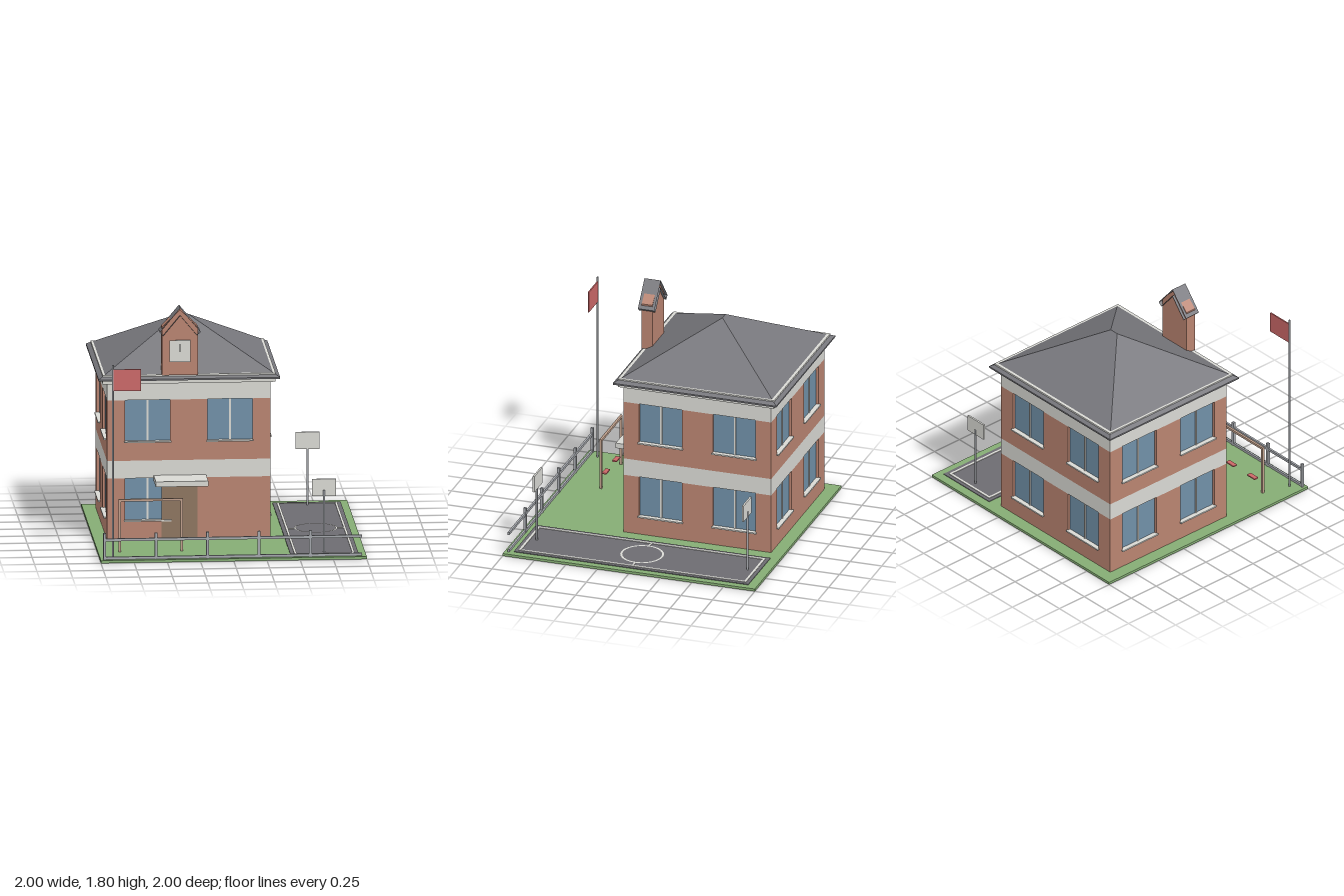
import * as THREE from 'three';

const mat = (color, extra = {}) => new THREE.MeshStandardMaterial({ color, ...extra });
const BRICK = mat(0xb98471), STONE = mat(0xd9d9d4), GLASS = mat(0x7090a8), GRASS = mat(0x85ad74);
const ASPHALT = mat(0x6d6c71), DOOR = mat(0x8e755f), RED = mat(0xcb6868), STEEL = mat(0xa5a8ad);
const TAN = mat(0xc0a08c), DARK = mat(0x333333);
const ROOF = mat(0x77777c, { flatShading: true, side: THREE.DoubleSide });

function add(parent, name, geometry, material) {
  const mesh = new THREE.Mesh(geometry, material);
  mesh.name = name;
  parent.add(mesh);
  return mesh;
}

// Box given by its min and max along each axis
function box(parent, name, material, x0, x1, y0, y1, z0, z1) {
  const mesh = add(parent, name, new THREE.BoxGeometry(x1 - x0, y1 - y0, z1 - z0), material);
  mesh.position.set((x0 + x1) / 2, (y0 + y1) / 2, (z0 + z1) / 2);
  return mesh;
}

function pole(parent, name, material, r, height, x, z) {
  const mesh = add(parent, name, new THREE.CylinderGeometry(r, r, height, 10), material);
  mesh.position.set(x, 0.02 + height / 2, z);
}

// Building footprint
const X0 = -0.9, X1 = 0.33, Z0 = -0.9, Z1 = 0.27;
const CX = (X0 + X1) / 2, CZ = (Z0 + Z1) / 2;
const WIN = 0.34, WALL = 0.04;

// One storey of one wall, outer face on local z = 0, notched at the top for windows
function wall(width, y0, sill, y1, windows) {
  const g = new THREE.Group();
  g.name = 'wall';
  const h = width / 2, half = WIN / 2;
  const shape = new THREE.Shape();
  shape.moveTo(-h, y0).lineTo(h, y0).lineTo(h, y1);
  for (const c of [...windows].sort((a, b) => b - a)) {
    shape.lineTo(c + half, y1).lineTo(c + half, sill).lineTo(c - half, sill).lineTo(c - half, y1);
  }
  shape.lineTo(-h, y1);
  const geo = new THREE.ExtrudeGeometry(shape, { depth: WALL, bevelEnabled: false });
  geo.translate(0, 0, -WALL);
  add(g, 'brickwork', geo, BRICK);
  for (const c of windows) {
    box(g, 'windowPane', GLASS, c - half, c + half, sill, y1, -0.035, -0.02);
    box(g, 'windowMullion', STONE, c - 0.007, c + 0.007, sill, y1, -0.03, -0.012);
    box(g, 'windowSill', STONE, c - half - 0.007, c + half + 0.007, sill - 0.006, sill + 0.005, -0.02, 0.017);
  }
  return g;
}

function buildHouse() {
  const g = new THREE.Group();
  g.name = 'schoolBuilding';
  const W = X1 - X0, D = Z1 - Z0;
  for (const [y0, sill, y1, ground] of [[0.02, 0.165, 0.49, true], [0.625, 0.77, 1.09, false]]) {
    for (let i = 0; i < 4; i++) {
      const alongX = i % 2 === 0;
      const width = alongX ? W : D, out = (alongX ? D : W) / 2;
      const off = alongX ? 0.31 : 0.2925;
      const w = wall(width, y0, sill, y1, ground && i === 0 ? [-off] : [-off, off]);
      const a = i * Math.PI / 2;
      w.position.set(CX + Math.sin(a) * out, 0, CZ + Math.cos(a) * out);
      w.rotation.y = a;
      g.add(w);
    }
  }
  // Stone bands and cornice
  box(g, 'middleBand', STONE, X0, X1, 0.49, 0.625, Z0, Z1);
  box(g, 'topBand', STONE, X0, X1, 1.09, 1.225, Z0, Z1);
  box(g, 'cornice', STONE, X0 - 0.035, X1 + 0.035, 1.222, 1.29, Z0 - 0.035, Z1 + 0.035);
  // Hip roof with a short ridge
  const ex = 0.6825, ez = 0.648, ridge = 0.036;
  const eave = box(g, 'eave', ROOF, CX - ex, CX + ex, 1.25, 1.262, CZ - ez, CZ + ez);
  eave.material = ROOF;
  const p = [[-ex, 0, ez], [ex, 0, ez], [ex, 0, -ez], [-ex, 0, -ez], [-ridge, 0.358, 0], [ridge, 0.358, 0]];
  const faces = [0, 1, 5, 0, 5, 4, 1, 2, 5, 2, 3, 4, 2, 4, 5, 3, 0, 4];
  const geo = new THREE.BufferGeometry();
  geo.setAttribute('position', new THREE.Float32BufferAttribute(faces.flatMap((i) => p[i]), 3));
  geo.computeVertexNormals();
  add(g, 'hipRoof', geo, ROOF).position.set(CX, 1.262, CZ);
  // Entrance
  box(g, 'door', DOOR, -0.49, -0.22, 0.02, 0.44, 0.25, 0.28);
  box(g, 'doorCanopy', STONE, -0.55, -0.155, 0.47, 0.51, 0.265, 0.5);
  return g;
}

function buildTower() {
  const g = new THREE.Group();
  g.name = 'clockTower';
  g.position.x = -0.355;
  const s = new THREE.Shape();
  s.moveTo(-0.135, 1.287).lineTo(0.135, 1.287).lineTo(0.135, 1.655).lineTo(0, 1.79).lineTo(-0.135, 1.655);
  const body = new THREE.ExtrudeGeometry(s, { depth: 0.085, bevelEnabled: false });
  add(g, 'towerBody', body, BRICK).position.z = 0.231;
  // Roof panels: sloped sleeves, open at the gable ends
  for (const side of [-1, 1]) {
    const c = [[0, 1.805], [0.154, 1.62], [0.126, 1.595], [0, 1.747]];
    const pos = [];
    for (let i = 0; i < 3; i++) {
      const [a, b] = [c[i], c[i + 1]];
      const q = [[a, 0.34], [b, 0.34], [b, 0.21], [a, 0.34], [b, 0.21], [a, 0.21]];
      if (side < 0) q.reverse();
      for (const [v, z] of q) pos.push(v[0] * side, v[1], z);
    }
    const geo = new THREE.BufferGeometry();
    geo.setAttribute('position', new THREE.Float32BufferAttribute(pos, 3));
    geo.computeVertexNormals();
    add(g, 'towerRoofPanel', geo, ROOF);
  }
  box(g, 'clockFace', STONE, -0.08, 0.08, 1.39, 1.555, 0.31, 0.329);
  box(g, 'clockHand', DARK, -0.003, 0.003, 1.47, 1.53, 0.325, 0.336);
  return g;
}

function buildCourt() {
  const g = new THREE.Group();
  g.name = 'sportsCourt';
  const cx = 0.69, y0 = 0.022, y1 = 0.029;
  box(g, 'courtSurface', ASPHALT, 0.433, 0.946, 0.015, 0.025, -0.93, 0.93);
  for (const s of [-1, 1]) {
    const x = cx + s * 0.218, z = s * 0.893;
    box(g, 'sideLine', STONE, x - 0.009, x + 0.009, y0, y1, -0.902, 0.902);
    box(g, 'endLine', STONE, cx - 0.209, cx + 0.209, y0, y1, z - 0.009, z + 0.009);
    const m = cx + s * 0.185;
    box(g, 'halfwayLine', STONE, m - 0.027, m + 0.027, y0, y1, -0.007, 0.007);
    // Hoop stand
    pole(g, 'hoopPole', STEEL, 0.008, 0.48, cx, s * 0.836);
    box(g, 'backboard', STONE, cx - 0.09, cx + 0.09, 0.455, 0.585, s * 0.83 - 0.007, s * 0.83 + 0.007);
  }
  const ring = add(g, 'centreCircle', new THREE.RingGeometry(0.15, 0.165, 24), STONE);
  ring.rotation.x = -Math.PI / 2;
  ring.position.set(cx, y1, 0);
  return g;
}

function buildYard() {
  const g = new THREE.Group();
  g.name = 'frontYard';
  // Flag
  pole(g, 'flagPole', STEEL, 0.008, 1.48, -0.903, 0.9);
  box(g, 'flag', RED, -0.897, -0.69, 1.3, 1.465, 0.895, 0.905);
  // Swing frame with two seats
  for (const x of [-0.835, -0.369]) box(g, 'swingPost', TAN, x - 0.009, x + 0.009, 0.02, 0.42, 0.681, 0.699);
  box(g, 'swingBeam', TAN, -0.844, -0.36, 0.405, 0.423, 0.681, 0.699);
  for (const x of [-0.722, -0.483]) box(g, 'swingSeat', RED, x - 0.042, x + 0.042, 0.104, 0.114, 0.672, 0.708);
  // Fence
  for (let i = 0; i < 5; i++) {
    const x = -0.97 + i * 0.387;
    box(g, 'fencePost', STEEL, x - 0.01, x + 0.01, 0.02, 0.222, 0.957, 0.977);
  }
  for (const y of [0.032, 0.172]) box(g, 'fenceRail', STEEL, -0.97, 0.965, y - 0.01, y + 0.01, 0.959, 0.975);
  return g;
}

export function createModel() {
  const model = new THREE.Group();
  model.name = 'school';
  box(model, 'lawn', GRASS, -1, 1, 0, 0.02, -1, 1);
  model.add(buildHouse(), buildTower(), buildCourt(), buildYard());
  return model;
}
